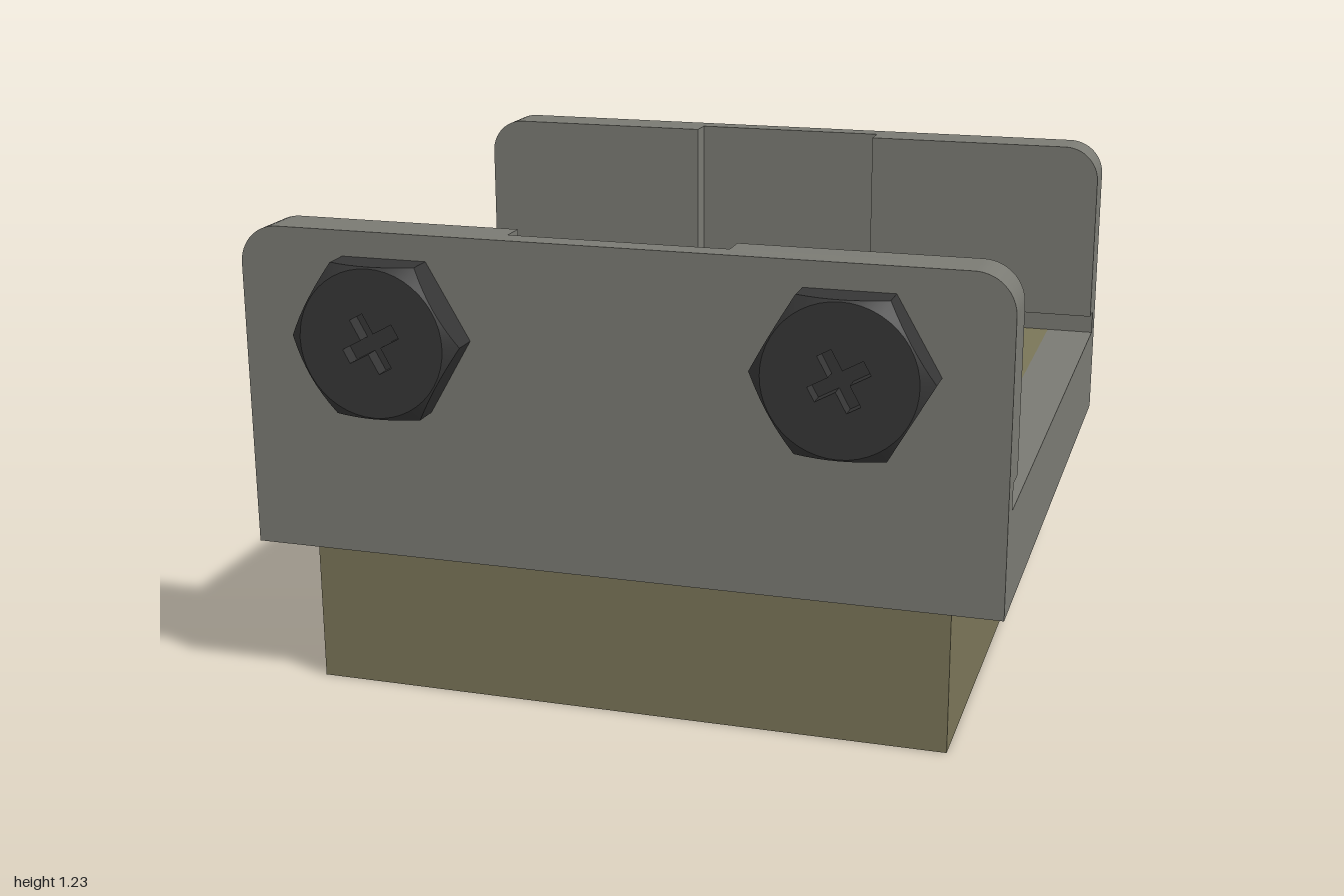
import * as THREE from 'three';
import { toCreasedNormals } from 'three/addons/utils/BufferGeometryUtils.js';

const W = 0.97, TOP = 1.23, BASE = 0.39, FLOOR = 0.645, R = 0.1;
const frameMat = new THREE.MeshStandardMaterial({ color: 0x7a7a73 });
const blockMat = new THREE.MeshStandardMaterial({ color: 0x7a7558 });
const boltMat = new THREE.MeshStandardMaterial({ color: 0x363636 });

function add(parent, name, geo, mat, x = 0, y = 0, z = 0) {
  const mesh = new THREE.Mesh(geo, mat);
  mesh.name = name;
  mesh.position.set(x, y, z);
  parent.add(mesh);
  return mesh;
}

// Upright slab from x0 to x1, with its top corners rounded where asked
function slab(x0, x1, y0, depth, roundLeft, roundRight) {
  const s = new THREE.Shape();
  s.moveTo(x0, y0);
  s.lineTo(x1, y0);
  if (roundRight) {
    s.lineTo(x1, TOP - R);
    s.absarc(x1 - R, TOP - R, R, 0, Math.PI / 2, false);
  } else s.lineTo(x1, TOP);
  if (roundLeft) {
    s.lineTo(x0 + R, TOP);
    s.absarc(x0 + R, TOP - R, R, Math.PI / 2, Math.PI, false);
  } else s.lineTo(x0, TOP);
  s.closePath();
  const geo = new THREE.ExtrudeGeometry(s, { depth, bevelEnabled: false, curveSegments: 8 });
  return toCreasedNormals(geo, 0.6);
}

// Hexagonal skirt whose corners are cut by a shallow cone
function hexSkirt(apothem, rim, height) {
  const N = 48, pos = [];
  const rings = [[], [], []];
  for (let i = 0; i <= N; i++) {
    const a = (i / N) * Math.PI * 2;
    const fromMid = (a % (Math.PI / 3)) - Math.PI / 6;
    const r = apothem / Math.cos(fromMid);
    const c = Math.cos(a), s = Math.sin(a);
    rings[0].push([r * c, r * s, 0]);
    rings[1].push([r * c, r * s, height - (r - rim) * 0.8]);
    rings[2].push([rim * c, rim * s, height]);
  }
  for (let k = 0; k < 2; k++) {
    for (let i = 0; i < N; i++) {
      const a = rings[k][i], b = rings[k][i + 1], c = rings[k + 1][i + 1], d = rings[k + 1][i];
      pos.push(...a, ...b, ...c, ...a, ...c, ...d);
    }
  }
  const geo = new THREE.BufferGeometry();
  geo.setAttribute('position', new THREE.Float32BufferAttribute(pos, 3));
  return toCreasedNormals(geo, 0.3);
}

// Bolt head with a cross-shaped recess in its face
function makeBolt() {
  const bolt = new THREE.Group();
  const height = 0.095, rim = 0.188, recess = 0.04, arm = 0.075, half = 0.019, turn = 0.5;
  add(bolt, 'hexSkirt', hexSkirt(0.192, rim, height), boltMat);

  const face = new THREE.Shape();
  face.absarc(0, 0, rim, 0, Math.PI * 2, false);
  const pts = [];
  for (let q = 0; q < 4; q++) {
    for (const [x, y] of [[arm, -half], [arm, half], [half, half]]) {
      pts.push(new THREE.Vector2(x, y).rotateAround(new THREE.Vector2(), turn + q * Math.PI / 2));
    }
  }
  face.holes.push(new THREE.Path(pts.reverse()));
  const faceGeo = new THREE.ExtrudeGeometry(face, { depth: recess, bevelEnabled: false, curveSegments: 24 });
  add(bolt, 'boltFace', faceGeo, boltMat, 0, 0, height - recess);
  add(bolt, 'recessFloor', new THREE.CircleGeometry(0.1, 24), boltMat, 0, 0, height - recess);
  return bolt;
}

// One end wall with its two inner pads and two bolts
function makeWall() {
  const wall = new THREE.Group();
  add(wall, 'wallPlate', slab(-W, W, BASE, 0.063, true, true), frameMat, 0, 0, 0.842);
  for (const side of [-1, 1]) {
    const pad = side < 0
      ? slab(-W, -0.28, 0.712, 0.067, true, false)
      : slab(0.28, W, 0.712, 0.067, false, true);
    add(wall, side < 0 ? 'rightPad' : 'leftPad', pad, frameMat, 0, 0, 0.775);
    const bolt = makeBolt();
    bolt.name = side < 0 ? 'rightBolt' : 'leftBolt';
    bolt.position.set(side * 0.583, 0.973, 0.905);
    wall.add(bolt);
  }
  return wall;
}

export function createModel() {
  const model = new THREE.Group();
  model.name = 'clampBracket';

  // Solid block that sits in the frame
  add(model, 'block', new THREE.BoxGeometry(1.67, FLOOR, 1.684), blockMat, 0, FLOOR / 2, 0);

  // Side rails
  for (const side of [-1, 1]) {
    const rail = new THREE.BoxGeometry(W - 0.835, FLOOR - BASE, 1.684);
    add(model, side < 0 ? 'rightRail' : 'leftRail', rail, frameMat, side * (W + 0.835) / 2, (FLOOR + BASE) / 2, 0);
  }

  // End walls
  const front = makeWall();
  front.name = 'frontWall';
  const back = makeWall();
  back.name = 'backWall';
  back.rotation.y = Math.PI;
  model.add(front, back);
  return model;
}
